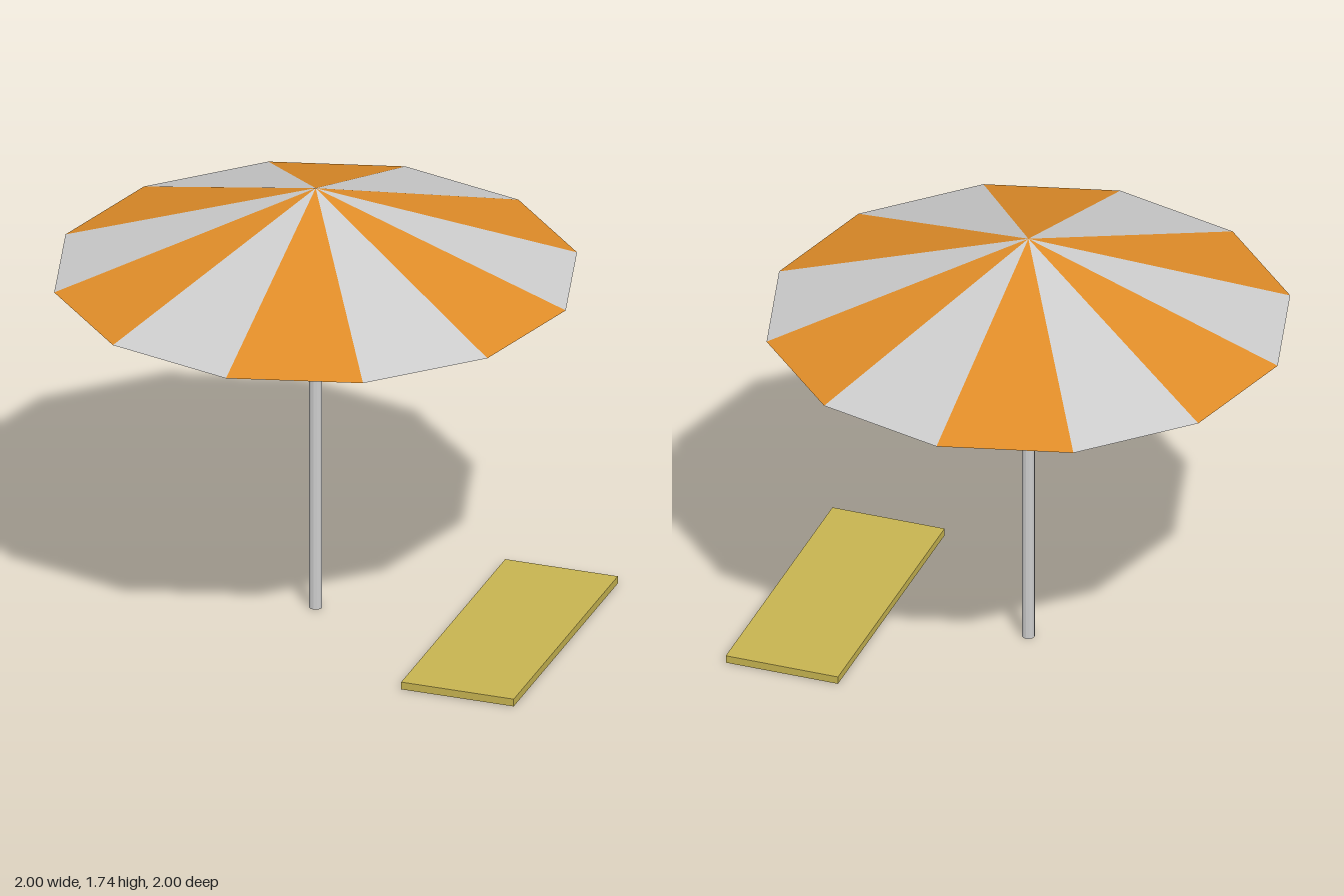
import * as THREE from 'three';

const PANELS = 12;
const RIM_Y = 1.39;
const APEX_Y = 1.74;

function material(color, side = THREE.FrontSide) {
  return new THREE.MeshStandardMaterial({ color, flatShading: true, side });
}

function addMesh(parent, name, geometry, mat, x, y, z) {
  const mesh = new THREE.Mesh(geometry, mat);
  mesh.name = name;
  mesh.position.set(x, y, z);
  parent.add(mesh);
  return mesh;
}

export function createModel() {
  const model = new THREE.Group();
  model.name = 'parasolWithMat';

  const grey = material(0xcccccc);
  const panelMaterials = [
    material(0xdf8c28, THREE.DoubleSide),
    material(0xcccccc, THREE.DoubleSide),
  ];

  // Canopy: an open twelve-sided cone of alternating orange and grey panels
  const canopy = new THREE.Group();
  canopy.name = 'canopy';
  const height = APEX_Y - RIM_Y;
  const step = (Math.PI * 2) / PANELS;
  for (let i = 0; i < PANELS; i++) {
    const panel = new THREE.ConeGeometry(1, height, 1, 1, true, i * step, step);
    addMesh(canopy, `canopyPanel${i + 1}`, panel, panelMaterials[i % 2], 0, RIM_Y + height / 2, 0);
  }
  model.add(canopy);

  // Pole: ends a little below the apex
  const poleHeight = 1.62;
  addMesh(model, 'pole', new THREE.CylinderGeometry(0.025, 0.025, poleHeight, 12), grey, 0, poleHeight / 2, 0);

  // Beach mat lying on the ground to the model's left
  addMesh(model, 'mat', new THREE.BoxGeometry(0.45, 0.03, 1.16), material(0xc6b350), 0.775, 0.015, 0);

  return model;
}
